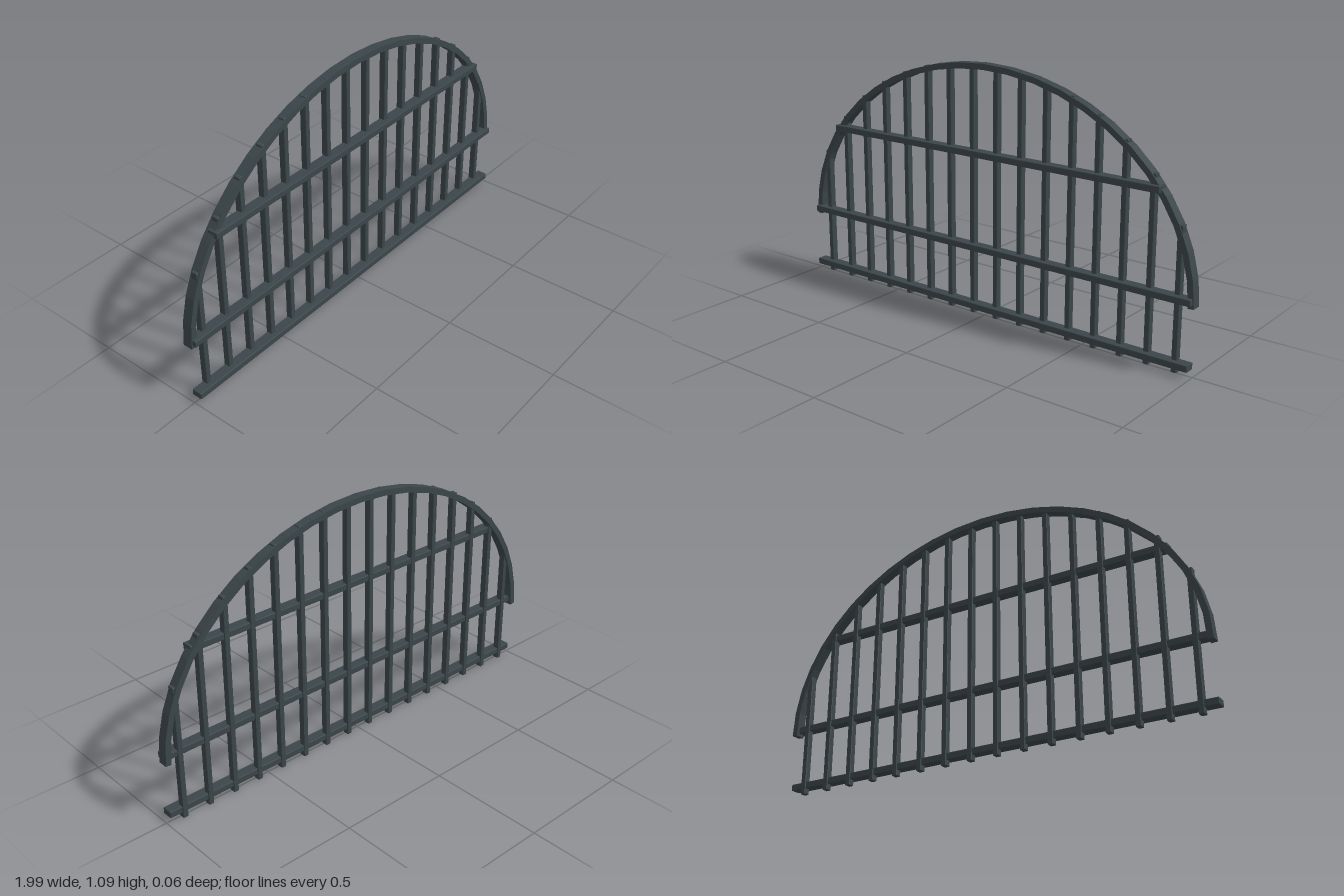
import * as THREE from 'three';
import { RoundedBoxGeometry } from 'three/addons/geometries/RoundedBoxGeometry.js';

export function createModel() {
  const model = new THREE.Group();
  model.name = 'archedRailing';
  const iron = new THREE.MeshStandardMaterial({ color: 0x3b4549, flatShading: true });
  iron.name = 'darkIron';

  const add = (name, geometry, x, y, z) => {
    const mesh = new THREE.Mesh(geometry, iron);
    mesh.name = name;
    mesh.position.set(x, y, z);
    model.add(mesh);
    return mesh;
  };
  // Bar with a slight bevel on its edges
  const bar = (w, h, d) => new RoundedBoxGeometry(w, h, d, 1, 0.003);

  // Half-ellipse that the arch follows
  const RX = 0.984, RY = 0.8, BASE = 0.28;
  const archY = (x) => BASE + RY * Math.sqrt(1 - (x / RX) ** 2);

  // Upright bars, each reaching up to the arch
  const COUNT = 16, SPAN = 0.922;
  for (let i = 0; i < COUNT; i++) {
    const x = -SPAN + (2 * SPAN * i) / (COUNT - 1);
    const top = archY(Math.abs(x) - 0.01) + 0.01;
    add('uprightBar', bar(0.023, top, 0.029), x, top / 2, -0.007);
  }

  // Horizontal rails, standing proud of the front
  const rails = [['bottomRail', 0.04, 1.98], ['middleRail', 0.304, 1.98], ['topRail', 0.714, 1.68]];
  for (const [name, y, width] of rails) add(name, bar(width, 0.028, 0.047), 0, y, 0.0065);

  // Arch of straight segments, slightly overlapping at the joints
  const SEGMENTS = 24;
  const point = (i) => {
    const a = (Math.PI * i) / SEGMENTS;
    return new THREE.Vector2(RX * Math.cos(a), BASE + RY * Math.sin(a));
  };
  for (let i = 0; i < SEGMENTS; i++) {
    const a = point(i), b = point(i + 1);
    const segment = add('archSegment', new THREE.BoxGeometry(a.distanceTo(b) + 0.006, 0.025, 0.043),
      (a.x + b.x) / 2, (a.y + b.y) / 2, -0.0085);
    segment.rotation.z = Math.atan2(b.y - a.y, b.x - a.x) + Math.PI;
  }
  return model;
}
